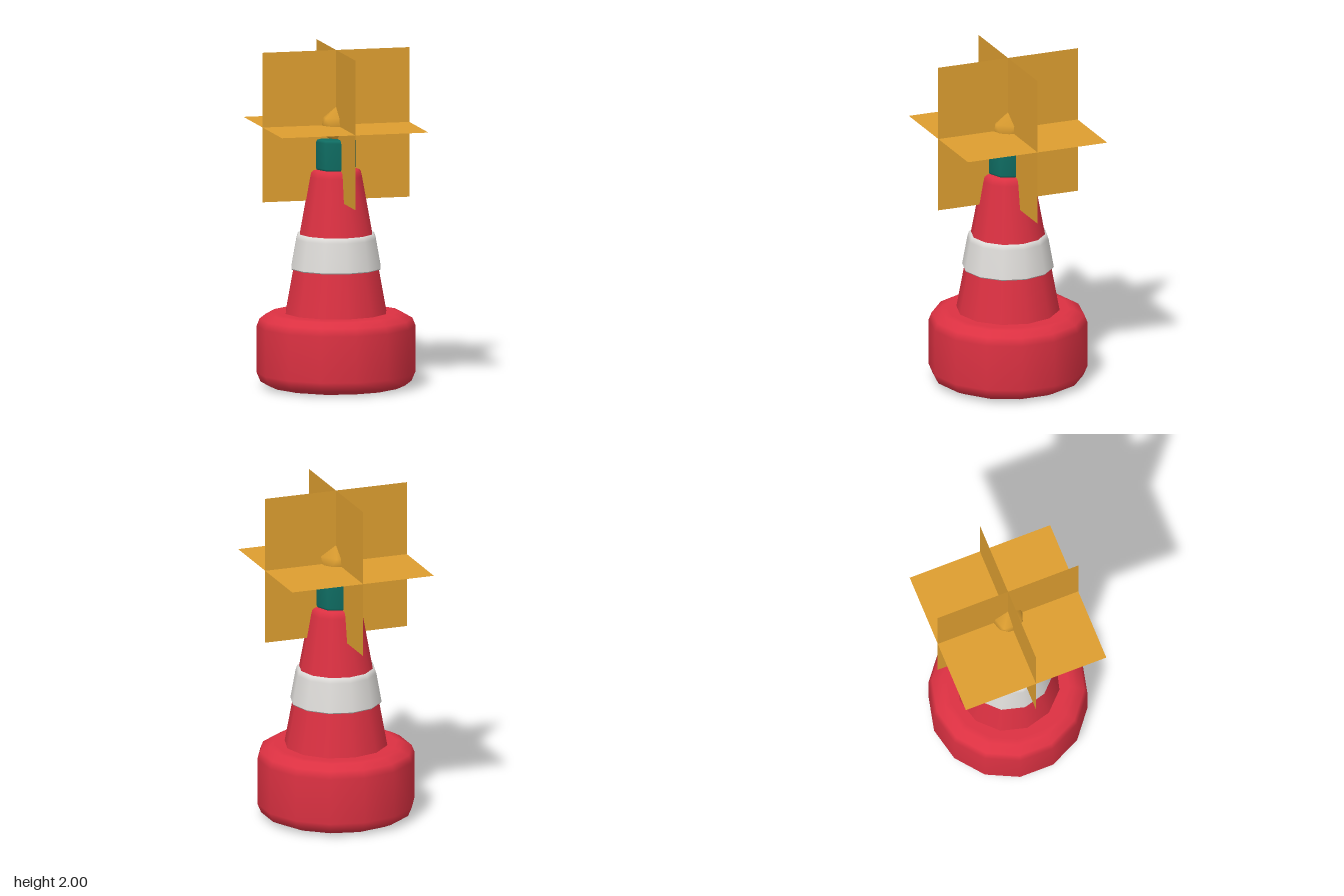
import * as THREE from 'three';

const red = new THREE.MeshStandardMaterial({ color: 0xdc3142 });
red.name = 'red plastic';
const white = new THREE.MeshStandardMaterial({ color: 0xdddbd8 });
white.name = 'pale band';
const green = new THREE.MeshStandardMaterial({ color: 0x0f6c62 });
green.name = 'dark green';
const amber = new THREE.MeshStandardMaterial({ color: 0xdd9e30, side: THREE.DoubleSide });
amber.name = 'amber';

// Turned part from [radius, height] pairs, bottom to top
function turned(name, profile, sides, material) {
  const points = profile.map(([r, y]) => new THREE.Vector2(r, y));
  const mesh = new THREE.Mesh(new THREE.LatheGeometry(points, sides), material);
  mesh.name = name;
  return mesh;
}

// Smooth twelve-point bulb: two poles and two staggered rings of five
function bulbGeometry(radius) {
  const pos = [0, radius, 0];
  const ringR = radius * 2 / Math.sqrt(5), ringY = radius / Math.sqrt(5);
  for (let ring = 0; ring < 2; ring++) {
    for (let i = 0; i < 5; i++) {
      const a = (i + ring / 2) * Math.PI * 2 / 5;
      pos.push(ringR * Math.cos(a), ring ? -ringY : ringY, -ringR * Math.sin(a));
    }
  }
  pos.push(0, -radius, 0);
  const index = [];
  for (let i = 0; i < 5; i++) {
    const j = (i + 1) % 5;
    const u = 1 + i, un = 1 + j, l = 6 + i, ln = 6 + j;
    index.push(0, u, un, u, l, un, un, l, ln, 11, ln, l);
  }
  const g = new THREE.BufferGeometry();
  g.setAttribute('position', new THREE.Float32BufferAttribute(pos, 3));
  g.setIndex(index);
  g.computeVertexNormals();
  return g;
}

export function createModel() {
  const model = new THREE.Group();
  model.name = 'buoy';

  // Weighted base, cone, band and lamp socket
  model.add(
    turned('base', [
      [0, 0], [0.36, 0], [0.39, 0.005], [0.445, 0.03], [0.468, 0.085],
      [0.468, 0.36], [0.45, 0.405], [0.395, 0.435], [0.36, 0.44], [0, 0.44],
    ], 14, red),
    turned('cone', [
      [0.307, 0.435], [0.157, 1.25], [0.15, 1.278], [0.135, 1.29], [0.12, 1.292], [0, 1.292],
    ], 12, red),
    turned('band', [
      [0.25, 0.702], [0.268, 0.702], [0.272, 0.708], [0.272, 0.708],
      [0.241, 0.88], [0.232, 0.908], [0.215, 0.91],
    ], 12, white),
    turned('lampSocket', [
      [0, 1.285], [0.1, 1.285], [0.115, 1.29], [0.122, 1.303],
      [0.122, 1.457], [0.115, 1.47], [0.1, 1.475], [0, 1.475],
    ], 8, green),
  );

  // Lamp with three crossed glow planes
  const lampY = 1.555;
  const bulb = new THREE.Mesh(bulbGeometry(0.106), amber);
  bulb.name = 'bulb';
  bulb.position.y = lampY;
  model.add(bulb);

  const glow = new THREE.Group();
  glow.name = 'glowPlanes';
  glow.position.y = lampY;
  const square = new THREE.PlaneGeometry(0.893, 0.89);
  const turns = { frontPlane: [0, 0], sidePlane: [0, Math.PI / 2], levelPlane: [-Math.PI / 2, 0] };
  for (const [name, [rx, ry]] of Object.entries(turns)) {
    const plane = new THREE.Mesh(square, amber);
    plane.name = name;
    plane.rotation.set(rx, ry, 0);
    glow.add(plane);
  }
  model.add(glow);
  return model;
}
